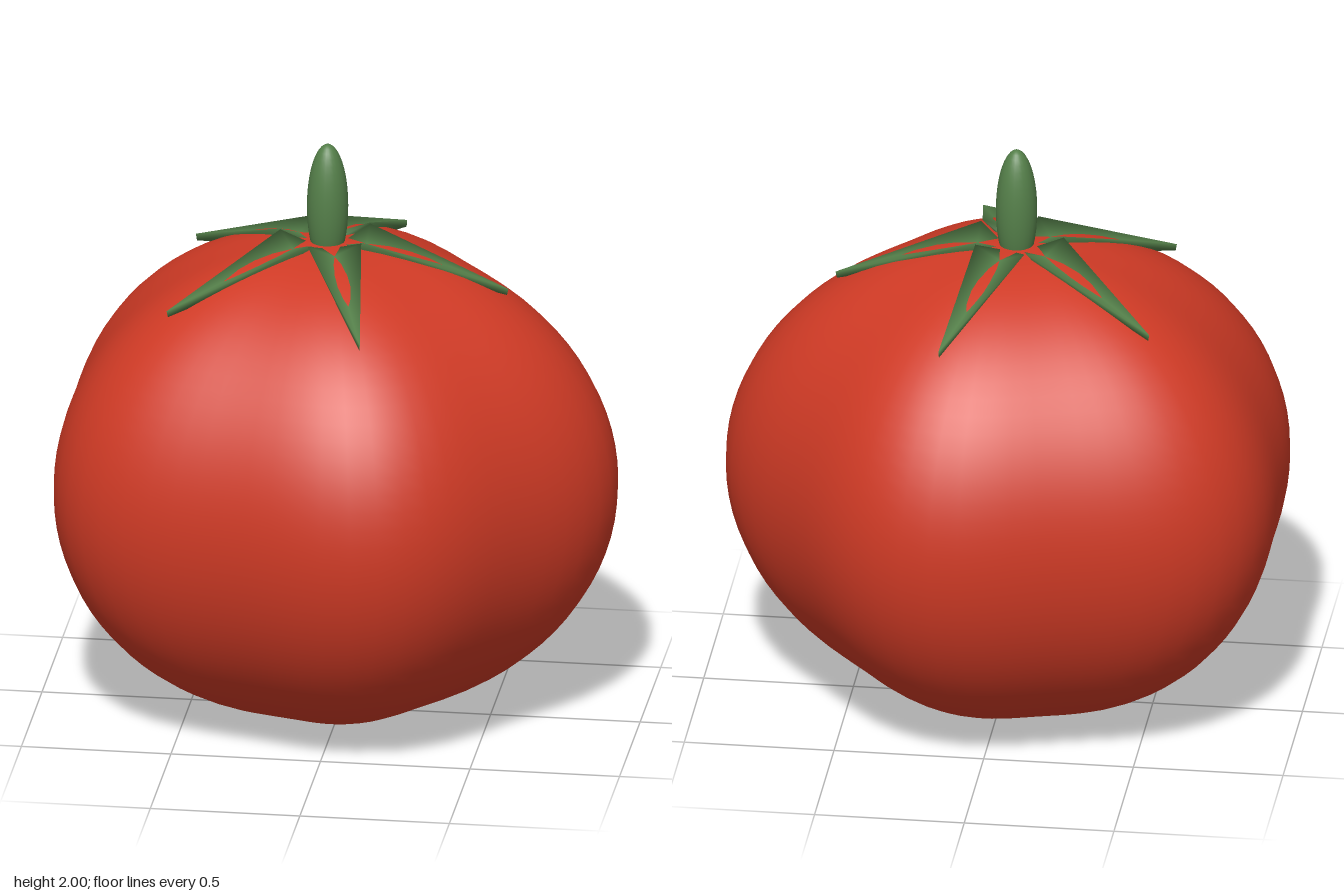
import * as THREE from 'three';
import { mergeVertices } from 'three/addons/utils/BufferGeometryUtils.js';

const HALF_HEIGHT = 0.83, Z_SCALE = 0.884;

// Five soft lobes around the fruit
const lobeRadius = a => 0.927 + 0.043 * Math.cos(5 * a);

// Height of the fruit's upper skin at distance r in the direction of lobe angle a
function skinY(a, r) {
  const x = r * Math.cos(a), z = r * Math.sin(a) / Z_SCALE;
  const k = Math.hypot(x, z) / lobeRadius(Math.atan2(z, x));
  return HALF_HEIGHT * (1 + Math.sqrt(Math.max(0, 1 - k * k)));
}

function fruitGeometry() {
  let g = new THREE.SphereGeometry(1, 64, 44);
  g.deleteAttribute('uv');
  g.deleteAttribute('normal');
  g = mergeVertices(g, 1e-4);
  const p = g.attributes.position;
  for (let i = 0; i < p.count; i++) {
    const x = p.getX(i), z = p.getZ(i);
    const r = lobeRadius(Math.atan2(z, x));
    p.setXYZ(i, x * r, HALF_HEIGHT * (1 + p.getY(i)), z * r * Z_SCALE);
  }
  g.computeVertexNormals();
  return g;
}

// Pointed sepal along +x: raised side wings, a low midrib that dips into the skin, a keel below
function sepalGeometry(a) {
  const points = [
    0.03, 1.64, 0,                    // 0 root
    0.13, 1.69, 0.09,                 // 1 wing
    0.13, 1.69, -0.09,                // 2 wing
    0.13, skinY(a, 0.13), 0,          // 3-5 midrib
    0.25, skinY(a, 0.25) - 0.009, 0,
    0.42, skinY(a, 0.42) + 0.005, 0,
    0.605, 1.517, 0,                  // 6 tip
    0.10, 1.60, 0,                    // 7 keel
    0.60, 1.495, 0,                   // 8 tip underside
  ];
  const index = [];
  for (const w of [1, 2]) {
    const faces = [[0, w, 3], [3, w, 4], [4, w, 5], [5, w, 6], [w, 0, 7], [w, 7, 8], [w, 8, 6]];
    for (const [i, j, k] of faces) index.push(...(w === 1 ? [i, j, k] : [i, k, j]));
  }
  const g = new THREE.BufferGeometry();
  g.setAttribute('position', new THREE.Float32BufferAttribute(points, 3));
  g.setIndex(index);
  g.computeVertexNormals();
  return g;
}

export function createModel() {
  const red = new THREE.MeshStandardMaterial({ name: 'ripe red', color: 0xcf3a25 });
  const green = new THREE.MeshStandardMaterial({ name: 'leaf green', color: 0x55804a });

  const model = new THREE.Group();
  model.name = 'tomato';
  const add = (name, geometry, material) => {
    const mesh = new THREE.Mesh(geometry, material);
    mesh.name = name;
    mesh.position.x = -0.045;
    model.add(mesh);
    return mesh;
  };

  add('fruit', fruitGeometry(), red);

  // Stem: a tall ellipsoid sunk into the crown
  const stem = new THREE.SphereGeometry(1, 24, 20);
  stem.scale(0.069, 0.22, 0.069);
  stem.translate(0, 1.78, 0);
  add('stem', stem, green);

  // Star of five sepals, one over each lobe
  for (let i = 0; i < 5; i++) {
    const a = i * Math.PI * 2 / 5;
    add('sepal' + (i + 1), sepalGeometry(a), green).rotation.y = -a;
  }
  return model;
}
